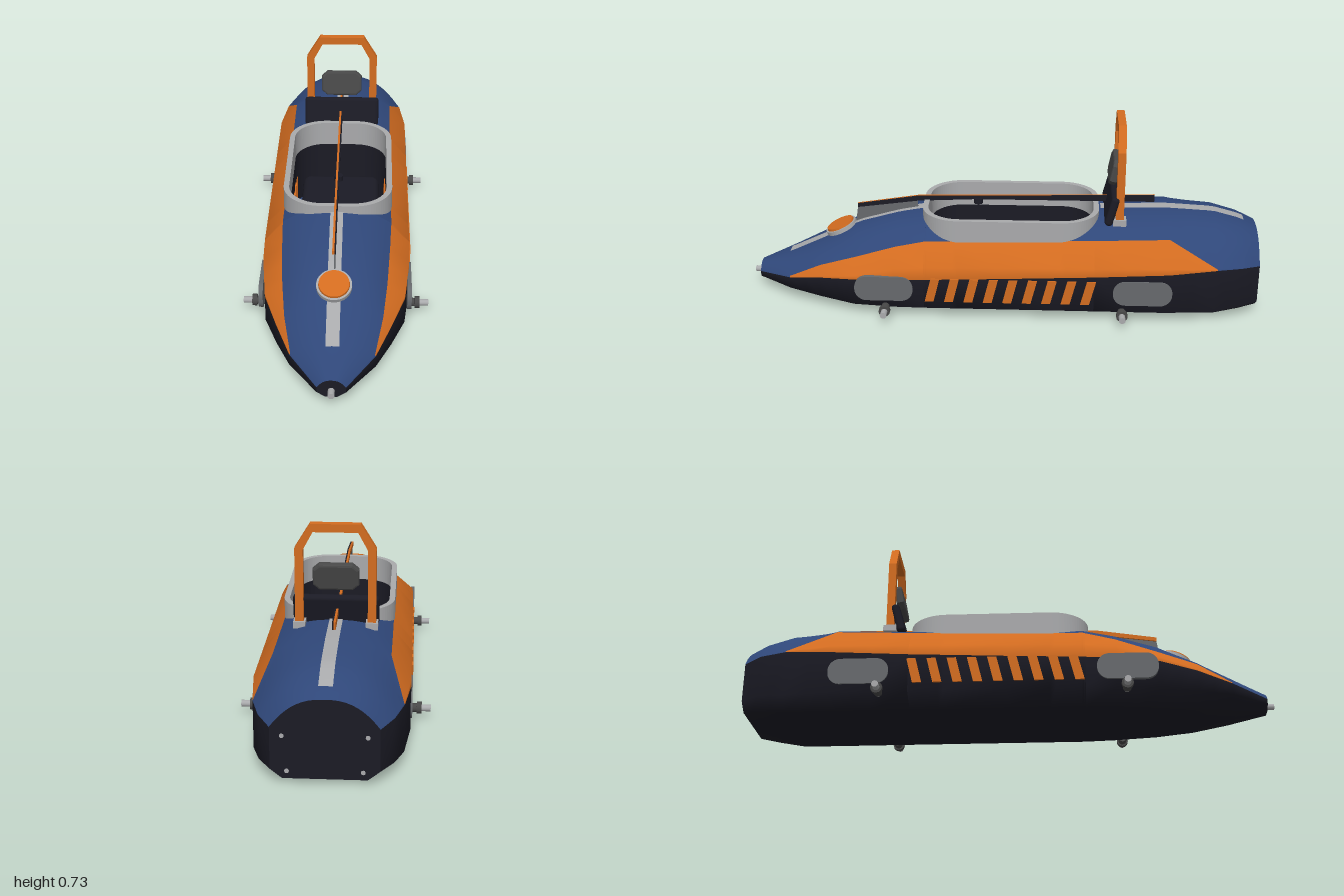
import * as THREE from 'three';
import { RoundedBoxGeometry } from 'three/addons/geometries/RoundedBoxGeometry.js';

const mat = (name, color) => new THREE.MeshStandardMaterial({ name, color, side: THREE.DoubleSide });

// hull stations: z, keelY, keelX, maxX, chineY, blackTopY, bulgeY, shoulderX, shoulderY, topY
const STATIONS = [
  [0.97, 0.03, 0.02, 0.05, 0.05, 0.07, 0.07, 0.048, 0.073, 0.1],
  [0.83, 0.012, 0.07, 0.15, 0.05, 0.095, 0.096, 0.147, 0.1, 0.155],
  [0.7, 0.003, 0.12, 0.205, 0.045, 0.125, 0.13, 0.175, 0.165, 0.215],
  [0.56, 0, 0.155, 0.255, 0.04, 0.145, 0.16, 0.19, 0.21, 0.285],
  [0.4, 0, 0.18, 0.272, 0.04, 0.155, 0.2, 0.2, 0.262, 0.33],
  [0.28, 0, 0.19, 0.275, 0.04, 0.16, 0.21, 0.205, 0.29, 0.352],
  [0, 0, 0.19, 0.275, 0.04, 0.17, 0.215, 0.205, 0.295, 0.355],
  [-0.37, 0, 0.19, 0.275, 0.04, 0.185, 0.22, 0.205, 0.305, 0.36],
  [-0.65, 0, 0.19, 0.275, 0.04, 0.2, 0.225, 0.205, 0.315, 0.367],
  [-0.83, 0, 0.19, 0.255, 0.04, 0.213, 0.215, 0.253, 0.218, 0.357],
  [-0.93, 0.01, 0.165, 0.225, 0.05, 0.21, 0.21, 0.224, 0.212, 0.33],
  [-1, 0.018, 0.14, 0.18, 0.05, 0.2, 0.2, 0.178, 0.203, 0.3],
];

function station(z) {
  let i = 0;
  while (i < STATIONS.length - 2 && z < STATIONS[i + 1][0]) i++;
  const a = STATIONS[i], b = STATIONS[i + 1];
  const t = (z - a[0]) / (b[0] - a[0]);
  const [, keelY, keelX, w, chineY, blackY, bulgeY, sx, sy, top] = a.map((v, k) => v + (b[k] - v) * t);
  return { keelY, keelX, w, chineY, blackY, bulgeY, sx, sy, top };
}

function deckY(x, z) {
  const s = station(z);
  return s.top - (s.top - s.sy) * Math.pow(Math.min(1, Math.abs(x) / s.sx), 2.5);
}

// half-width of the rounded cockpit opening
const OPEN = { front: 0.285, back: -0.365, w: 0.19, r: 0.13 };
function openHalf(z) {
  const d = Math.min(OPEN.front - z, z - OPEN.back);
  if (d < 0) return 0;
  if (d >= OPEN.r) return OPEN.w;
  return OPEN.w - OPEN.r + Math.sqrt(OPEN.r ** 2 - (OPEN.r - d) ** 2);
}

// skin through equal-length rows of points
function loft(rows) {
  const n = rows[0].length, index = [];
  for (let i = 0; i < rows.length - 1; i++) {
    for (let j = 0; j < n - 1; j++) {
      const a = i * n + j, b = a + n;
      index.push(a, a + 1, b, a + 1, b + 1, b);
    }
  }
  const g = new THREE.BufferGeometry();
  g.setAttribute('position', new THREE.Float32BufferAttribute(rows.flat(2), 3));
  g.setIndex(index);
  g.computeVertexNormals();
  return g;
}

function roundRect(w, h, r, P = THREE.Shape) {
  const s = new P(), q = Math.PI / 2;
  s.absarc(w - r, h - r, r, 0, q);
  s.absarc(r - w, h - r, r, q, 2 * q);
  s.absarc(r - w, r - h, r, 2 * q, 3 * q);
  s.absarc(w - r, r - h, r, 3 * q, 4 * q);
  s.closePath();
  return s;
}

const polygon = (pts) => new THREE.Shape(pts.map(([x, y]) => new THREE.Vector2(x, y)));
const extrude = (shape, depth) => new THREE.ExtrudeGeometry(shape, { depth, bevelEnabled: false, curveSegments: 10 });

export function createModel() {
  const model = new THREE.Group();
  const blue = mat('blue paint', 0x2f4779);
  const orange = mat('orange paint', 0xd36c20);
  const black = mat('black shell', 0x1b1b25);
  const silver = mat('light grey metal', 0xa9aaac);
  const grey = mat('mid grey panel', 0x66696c);
  const dark = mat('dark grey padding', 0x484848);

  const add = (name, geo, m, x = 0, y = 0, z = 0, parent = model) => {
    const mesh = new THREE.Mesh(geo, m);
    mesh.name = name;
    mesh.position.set(x, y, z);
    parent.add(mesh);
    return mesh;
  };

  // hull skins
  const zs = STATIONS.map((s) => s[0]);
  for (let i = 0; i <= 10; i++) {
    const d = OPEN.r * (1 - Math.cos((i / 10) * Math.PI / 2));
    zs.push(OPEN.front - d, OPEN.back + d);
  }
  zs.push(OPEN.front + 0.0002, OPEN.back - 0.0002, 0.9, 0.76, 0.63, 0.48, -0.5, -0.74, -0.88, -0.97);
  zs.sort((a, b) => b - a);
  for (const k of [1, -1]) {
    add('lowerHull', loft(zs.map((z) => {
      const s = station(z);
      return [[0, s.keelY, z], [k * s.keelX, s.keelY, z], [k * s.w, s.chineY, z], [k * s.w, s.blackY, z]];
    })), black);
    add('sideBand', loft(zs.filter((z) => z <= 0.83 && z >= -0.83).map((z) => {
      const s = station(z);
      return [[k * s.w, s.blackY, z], [k * s.w, s.bulgeY, z], [k * s.sx, s.sy, z]];
    })), orange);
    for (const [hi, lo] of [[0.97, 0.83], [-0.83, -1]]) {
      add('endShoulder', loft(zs.filter((z) => z <= hi && z >= lo).map((z) => {
        const s = station(z);
        return [[k * s.w, s.blackY, z], [k * s.w, s.bulgeY, z], [k * s.sx, s.sy, z]];
      })), blue);
    }
    add('deck', loft(zs.map((z) => {
      const s = station(z), h = openHalf(z), row = [];
      for (let j = 0; j <= 10; j++) {
        const x = s.sx + (h - s.sx) * (j / 10);
        row.push([k * x, deckY(x, z), z]);
      }
      return row;
    })), blue);
  }

  // flat ends of the hull
  for (const z of [0.97, -1]) {
    const s = station(z), half = [[s.keelX, s.keelY], [s.w, s.chineY], [s.w, s.blackY]];
    for (let j = 0; j <= 8; j++) half.push([s.sx * (1 - j / 8), deckY(s.sx * (1 - j / 8), z)]);
    const other = half.slice(0, -1).reverse().map(([x, y]) => [-x, y]);
    add('endCap', new THREE.ShapeGeometry(polygon([...half, ...other])), black, 0, 0, z);
  }

  // deck stripes
  for (const [z0, z1] of [[0.85, 0.3], [-0.39, -0.95]]) {
    const rows = [];
    for (let i = 0; i <= 20; i++) {
      const z = z0 + (z1 - z0) * (i / 20);
      rows.push([0.024, 0, -0.024].map((x) => [x, deckY(x, z) + 0.004, z]));
    }
    add('deckStripe', loft(rows), silver);
  }

  // cockpit rim, tub and seat
  const ring = (out, inn, height) => {
    const s = roundRect(OPEN.w + out, 0.325 + out, OPEN.r + out);
    s.holes.push(roundRect(OPEN.w - inn, 0.325 - inn, OPEN.r - inn, THREE.Path));
    return extrude(s, height).rotateX(-Math.PI / 2);
  };
  add('cockpitRim', ring(0.018, 0.003, 0.1), silver, 0, 0.277, -0.04);
  add('tubWall', ring(0.002, 0.001, 0.245), black, 0, 0.04, -0.04);
  add('tubFloor', new THREE.ShapeGeometry(roundRect(0.19, 0.325, 0.13)).rotateX(-Math.PI / 2), blue, 0, 0.045, -0.04);
  add('seat', new RoundedBoxGeometry(0.32, 0.08, 0.27, 2, 0.025), black, 0, 0.09, -0.225);

  // side vents, oval panels and axles
  const vent = polygon([[-0.03, -0.048], [0.004, -0.048], [0.028, 0.048], [-0.006, 0.048]]);
  for (const k of [1, -1]) {
    for (let i = 0; i < 9; i++) {
      const z = 0.252 - i * 0.0745;
      for (const [x, name] of [[0.277, 'sideVent'], [0.186, 'innerVent']]) {
        const v = extrude(vent, 0.008).translate(0, 0, -0.004).rotateY(Math.PI / 2);
        add(name, v, orange, k * x, 0.118, z);
      }
    }
    for (const z of [0.44, -0.55]) {
      const p = extrude(roundRect(0.112, 0.05, 0.046), 0.016).translate(0, 0, -0.008).rotateY(Math.PI / 2);
      add('ovalPanel', p, grey, k * 0.272, 0.12, z);
    }
    for (const z of [0.435, -0.473]) {
      const rod = (name, r, len, x, m, n = 16) =>
        add(name, new THREE.CylinderGeometry(r, r, len, n).rotateZ(Math.PI / 2), m, k * x, 0.04, z);
      rod('axle', 0.0125, 0.1, 0.297, silver);
      rod('axleSleeve', 0.016, 0.04, 0.28, dark);
      rod('axleNut', 0.022, 0.018, 0.305, dark, 12);
    }
    // rear bolts
    for (const [x, y] of [[0.14, 0.17], [0.125, 0.045]]) {
      add('rearBolt', new THREE.CylinderGeometry(0.008, 0.008, 0.006, 10).rotateX(Math.PI / 2), silver, k * x, y, -0.999);
    }
    add('hoopFoot', new THREE.BoxGeometry(0.044, 0.025, 0.05), silver, k * 0.13, 0.355, -0.46);
  }
  add('nosePin', new THREE.CylinderGeometry(0.012, 0.012, 0.04, 12).rotateX(Math.PI / 2), silver, 0, 0.057, 0.98);

  // roll hoop
  const hoop = polygon([[0.145, 0.35], [0.145, 0.64], [0.09, 0.73], [-0.09, 0.73], [-0.145, 0.64], [-0.145, 0.35],
    [-0.115, 0.35], [-0.115, 0.635], [-0.08, 0.7], [0.08, 0.7], [0.115, 0.635], [0.115, 0.35]]);
  add('rollHoop', extrude(hoop, 0.03), orange, 0, 0, -0.475);

  // back rest and head rest
  add('backRest', new RoundedBoxGeometry(0.31, 0.12, 0.032, 2, 0.014), black, 0, 0.4, -0.43).rotation.x = -0.25;
  const pad = polygon([[0.075, -0.027], [0.075, 0.027], [0.057, 0.043], [-0.057, 0.043],
    [-0.075, 0.027], [-0.075, -0.027], [-0.057, -0.043], [0.057, -0.043]]);
  const padGeo = new THREE.ExtrudeGeometry(pad, { depth: 0.015, bevelSize: 0.008, bevelThickness: 0.008, bevelSegments: 2 });
  add('headRest', padGeo, dark, 0, 0.527, -0.447).rotation.x = -0.2;

  // hood cap lying on the slope
  const cap = new THREE.Group();
  cap.name = 'hoodCap';
  cap.position.set(0, 0.255, 0.64);
  cap.rotation.x = 0.4;
  model.add(cap);
  add('capRing', new THREE.CylinderGeometry(0.064, 0.064, 0.016, 32), silver, 0, 0, 0, cap);
  add('capLid', new THREE.CylinderGeometry(0.055, 0.057, 0.012, 32), orange, 0, 0.01, 0, cap);

  // centre blade: orange face, dark back, grey base
  const blade = (pts, x, thick) => extrude(polygon(pts), thick).rotateY(-Math.PI / 2).translate(x, 0, 0);
  const edge = [[0.57, 0.355], [0.33, 0.392], [-0.6, 0.412], [-0.6, 0.385], [0.1, 0.383], [0.33, 0.372], [0.57, 0.34]];
  add('bladeFace', blade(edge, -0.001, 0.008), orange);
  add('bladeBack', blade(edge, 0.004, 0.005), black);
  add('bladeBase', blade([[0.58, 0.275], [0.57, 0.342], [0.33, 0.374], [0.33, 0.335]], 0.002, 0.005), grey);
  add('steeringKnob', new THREE.CylinderGeometry(0.018, 0.018, 0.02, 16), black, 0, 0.377, 0.09);
  return model;
}
